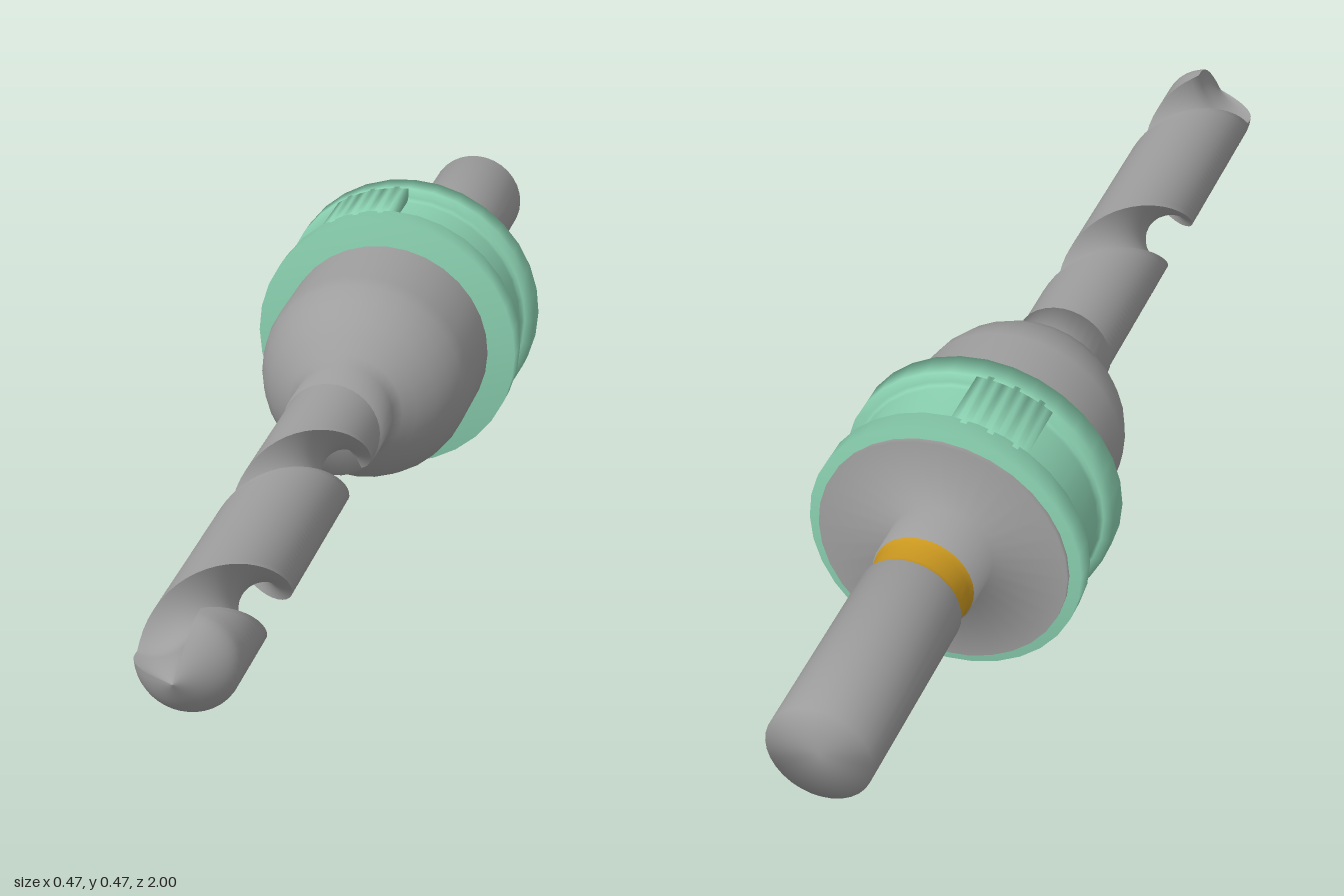
import * as THREE from 'three';
import { toCreasedNormals } from 'three/addons/utils/BufferGeometryUtils.js';

const AXIS_Y = 0.237;
const grey = new THREE.MeshStandardMaterial({ color: 0x9e9e9e });
const green = new THREE.MeshStandardMaterial({ color: 0x8ad0b0 });
const gold = new THREE.MeshStandardMaterial({ color: 0xcc9920 });

// Softly shaded turned part about the z axis; profile is [radius, z] from back to front
function turned(name, profile, material) {
  const pts = profile.map(([r, z]) => new THREE.Vector2(r, z));
  const geo = new THREE.LatheGeometry(pts, 32).rotateX(Math.PI / 2);
  const mesh = new THREE.Mesh(geo, material);
  mesh.name = name;
  return mesh;
}

// Smooth surface swept from a cross-section that twists and shrinks along z
function twistedStrip(section, stations) {
  const pos = [], idx = [], n = section.length;
  stations.forEach(({ z, scale, angle }, i) => {
    const c = Math.cos(angle) * scale, s = Math.sin(angle) * scale;
    section.forEach(([x, y], j) => {
      pos.push(x * c - y * s, x * s + y * c, z);
      if (i && j) {
        const d = i * n + j, a = d - n - 1;
        idx.push(a, a + 1, d, a, d, d - 1);
      }
    });
  });
  const geo = new THREE.BufferGeometry();
  geo.setAttribute('position', new THREE.Float32BufferAttribute(pos, 3));
  geo.setIndex(idx);
  geo.computeVertexNormals();
  return geo;
}

// Drill bit: round land plus one scooped spiral flute that runs straight over the domed tip
function drillBit() {
  const R = 0.084, half = 0.91, flute = 0.1, PITCH = 0.49;
  const rx = R * Math.cos(half), ry = R * Math.sin(half);
  const a = Math.hypot(rx - flute, ry), start = Math.atan2(ry, rx - flute);
  const land = [], scoop = [];
  for (let j = 0; j <= 28; j++) {
    const t = half + (j / 28) * (2 * Math.PI - 2 * half);
    land.push([R * Math.cos(t), R * Math.sin(t)]);
  }
  for (let j = 0; j <= 14; j++) {
    const t = 2 * Math.PI - start + (j / 14) * (2 * start - 2 * Math.PI);
    scoop.push([flute + a * Math.cos(t), a * Math.sin(t)]);
  }
  const stations = [];
  const add = (z, scale) => stations.push({
    z, scale, angle: Math.PI / 2 + ((Math.min(z, 0.905) - 0.85) / PITCH) * 2 * Math.PI,
  });
  for (let i = 0; i <= 70; i++) add(0.08 + 0.84 * i / 70, 1);
  for (let i = 1; i <= 12; i++) add(0.92 + 0.08 * i / 12, Math.max(1 - (i / 12) ** 2, 0.001));

  const group = new THREE.Group();
  group.name = 'drillBit';
  for (const [name, section] of [['bitLand', land], ['bitFlute', scoop]]) {
    const mesh = new THREE.Mesh(twistedStrip(section, stations), grey);
    mesh.name = name;
    group.add(mesh);
  }
  return group;
}

// Soft-edged block bridging the groove of the ring between two angles
function lug(name, from, to) {
  const shape = new THREE.Shape();
  shape.absarc(0, 0, 0.234, from, to, false);
  shape.absarc(0, 0, 0.19, to, from, true);
  const geo = new THREE.ExtrudeGeometry(shape, { depth: 0.13, bevelEnabled: false, curveSegments: 6 });
  geo.translate(0, 0, -0.445);
  const mesh = new THREE.Mesh(toCreasedNormals(geo, Math.PI), green);
  mesh.name = name;
  return mesh;
}

export function createModel() {
  const model = new THREE.Group();
  model.name = 'drill';
  const body = new THREE.Group();
  body.position.y = AXIS_Y;
  model.add(body);

  // Rear shank, coloured band, and neck flaring into the back plate
  body.add(turned('shank', [[0, -1], [0.088, -1], [0.088, -0.63], [0, -0.63]], grey));
  body.add(turned('band', [[0.086, -0.63], [0.082, -0.618], [0.082, -0.582], [0.086, -0.57]], gold));
  body.add(turned('neckAndBackPlate', [
    [0, -0.57], [0.088, -0.57], [0.088, -0.49], [0.215, -0.49], [0.215, -0.475],
  ], grey));

  // Grooved ring with its two lugs
  body.add(turned('ring', [
    [0, -0.48], [0.235, -0.48], [0.235, -0.437], [0.219, -0.435], [0.214, -0.431], [0.212, -0.424],
    [0.212, -0.336], [0.214, -0.329], [0.219, -0.325], [0.235, -0.323], [0.235, -0.276], [0, -0.276],
  ], green));
  const lugEnd = Math.PI / 2 + 0.59;
  body.add(lug('upperLug', Math.PI / 2, lugEnd));
  body.add(lug('lowerLug', -lugEnd, -Math.PI / 2));

  // Rounded chuck body with front collar
  body.add(turned('chuck', [
    [0.186, -0.28], [0.186, -0.135], [0.181, -0.105], [0.168, -0.07], [0.148, -0.038],
    [0.122, -0.01], [0.101, 0.006], [0.087, 0.02], [0.087, 0.095], [0, 0.095],
  ], grey));

  body.add(drillBit());
  return model;
}
